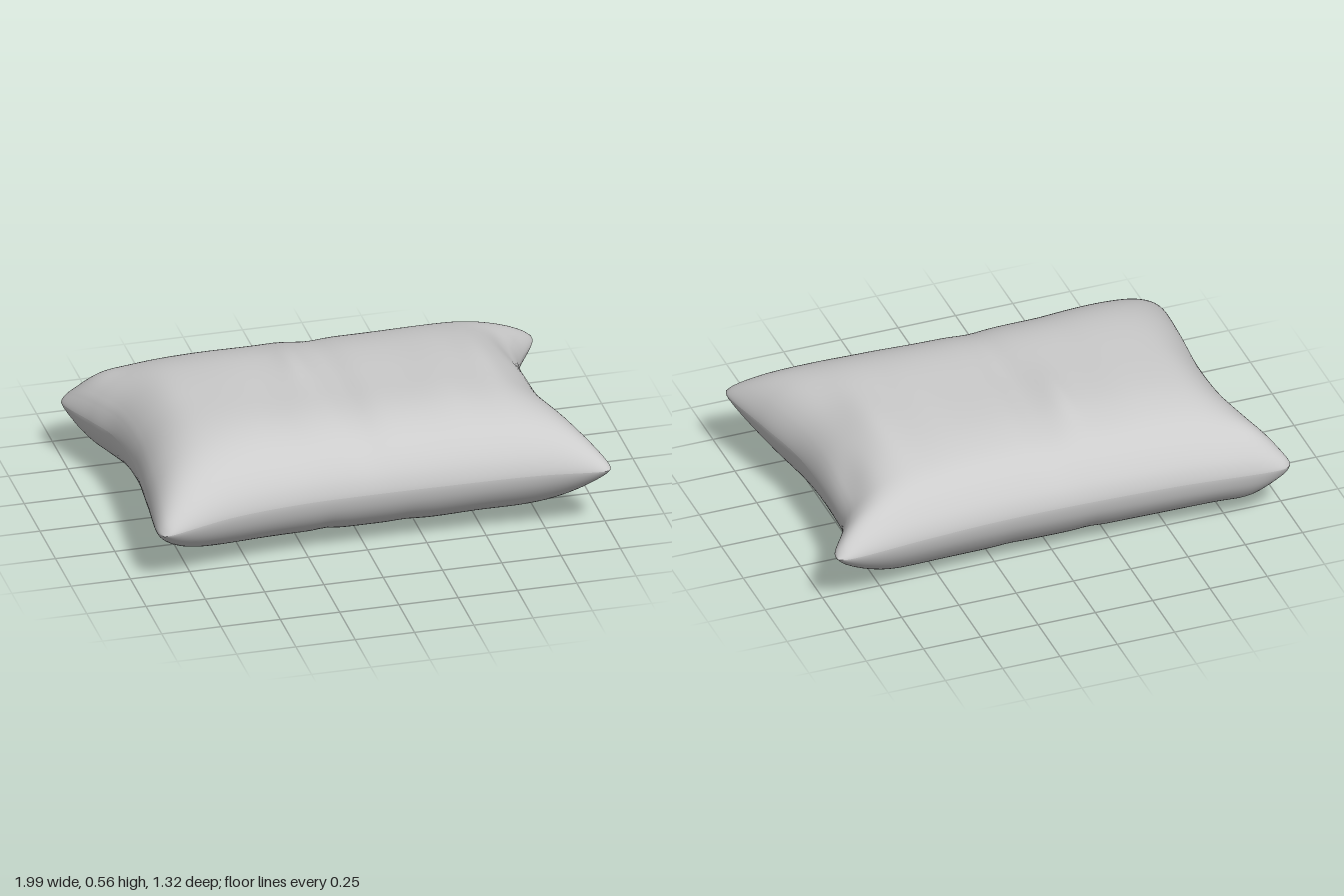
import * as THREE from 'three';

const curve = pts => new THREE.CatmullRomCurve3(pts.map(([x, y, z]) => new THREE.Vector3(x, y, z)));

// Seam outline: four concave edges meeting at rounded corners
const backEdge = curve([[-0.985, 0.265, -0.635], [-0.955, 0.265, -0.647], [-0.5, 0.28, -0.632], [0, 0.285, -0.62],
  [0.3, 0.285, -0.621], [0.6, 0.285, -0.638], [0.95, 0.285, -0.663], [0.99, 0.285, -0.65]]);
const frontEdge = curve([[-0.895, 0.262, 0.645], [-0.86, 0.27, 0.655], [-0.6, 0.292, 0.61], [-0.3, 0.298, 0.578],
  [0, 0.298, 0.57], [0.3, 0.3, 0.575], [0.7, 0.308, 0.6], [0.96, 0.315, 0.645], [0.985, 0.315, 0.64]]);
const leftEdge = curve([[-0.985, 0.265, -0.635], [-1, 0.262, -0.605], [-0.93, 0.27, -0.4], [-0.88, 0.28, -0.24],
  [-0.862, 0.285, 0], [-0.885, 0.28, 0.3], [-0.91, 0.262, 0.6], [-0.895, 0.262, 0.645]]);
const rightEdge = curve([[0.99, 0.285, -0.65], [0.985, 0.282, -0.6], [0.91, 0.275, -0.48], [0.875, 0.273, -0.39],
  [0.857, 0.28, -0.1], [0.87, 0.284, 0.13], [0.935, 0.3, 0.38], [0.995, 0.315, 0.61], [0.985, 0.315, 0.64]]);

// Soft folds and dents: x, z, width in x, width in z, height
const topFolds = [
  [-0.14, -0.2, 0.05, 0.2, 0.016], [0, 0, 0.07, 0.6, -0.02], [-0.3, 0.1, 0.09, 0.4, -0.01],
  [0.4, 0.1, 0.1, 0.3, 0.012], [0.63, -0.05, 0.09, 0.3, 0.026], [-0.7, -0.1, 0.1, 0.3, 0.012],
  [-0.88, -0.56, 0.11, 0.11, 0.04], [0.82, -0.3, 0.06, 0.14, -0.04],
];
const bottomFolds = [
  [-0.24, -0.1, 0.06, 0.2, 0.016], [-0.16, 0, 0.045, 0.5, -0.018], [-0.02, -0.1, 0.09, 0.3, 0.008],
  [0.18, 0, 0.06, 0.5, -0.012], [0.5, 0, 0.15, 0.6, -0.014], [0.75, -0.05, 0.08, 0.3, 0.028],
  [-0.88, -0.56, 0.12, 0.12, 0.06], [-0.45, 0.1, 0.15, 0.4, -0.008],
];

const foldHeight = (folds, x, z) => folds.reduce((sum, [fx, fz, wx, wz, h]) =>
  sum + h * Math.exp(-(((x - fx) / wx) ** 2) - ((z - fz) / wz) ** 2), 0);

// Full in the middle, falling steeply to zero at the seam
const puff = (t, p, q) => Math.pow(Math.max(0, 1 - Math.abs(t) ** p), q);

// One half of the cushion: a patch across the outline, puffed up or down
function pillowHalf(side, height, folds) {
  const nu = 96, nv = 72;
  const ease = (i, n) => 0.5 + 0.5 * Math.sin((i / n - 0.5) * Math.PI);
  const us = Array.from({ length: nu + 1 }, (_, i) => ease(i, nu));
  const vs = Array.from({ length: nv + 1 }, (_, j) => ease(j, nv));
  const back = us.map(u => backEdge.getPointAt(u)), front = us.map(u => frontEdge.getPointAt(u));
  const left = vs.map(v => leftEdge.getPointAt(v)), right = vs.map(v => rightEdge.getPointAt(v));
  const positions = [], index = [];
  for (let j = 0; j <= nv; j++) {
    for (let i = 0; i <= nu; i++) {
      const u = us[i], v = vs[j];
      // Blend the four edges into a flat patch
      const [x, y, z] = ['x', 'y', 'z'].map(k =>
        (1 - v) * back[i][k] + v * front[i][k] + (1 - u) * left[j][k] + u * right[j][k]
        - (1 - u) * (1 - v) * back[0][k] - u * (1 - v) * back[nu][k]
        - (1 - u) * v * front[0][k] - u * v * front[nu][k]);
      const full = puff(2 * u - 1, 6.5, 0.6) * puff(2 * v - 1, 3.8, 0.62);
      positions.push(x, y + side * full * (height + foldHeight(folds, x, z)), z);
      if (i < nu && j < nv) {
        const a = j * (nu + 1) + i, b = a + nu + 1;
        if (side > 0) index.push(a, b, a + 1, b, b + 1, a + 1);
        else index.push(a, a + 1, b, b, a + 1, b + 1);
      }
    }
  }
  const geometry = new THREE.BufferGeometry();
  geometry.setAttribute('position', new THREE.Float32BufferAttribute(positions, 3));
  geometry.setIndex(index);
  geometry.computeVertexNormals();
  return geometry;
}

export function createModel() {
  const pillow = new THREE.Group();
  pillow.name = 'pillow';
  const material = new THREE.MeshStandardMaterial({ color: 0xcccccc });
  const top = new THREE.Mesh(pillowHalf(1, 0.259, topFolds), material);
  top.name = 'pillowTop';
  const bottom = new THREE.Mesh(pillowHalf(-1, 0.273, bottomFolds), material);
  bottom.name = 'pillowBottom';
  pillow.add(top, bottom);
  return pillow;
}
